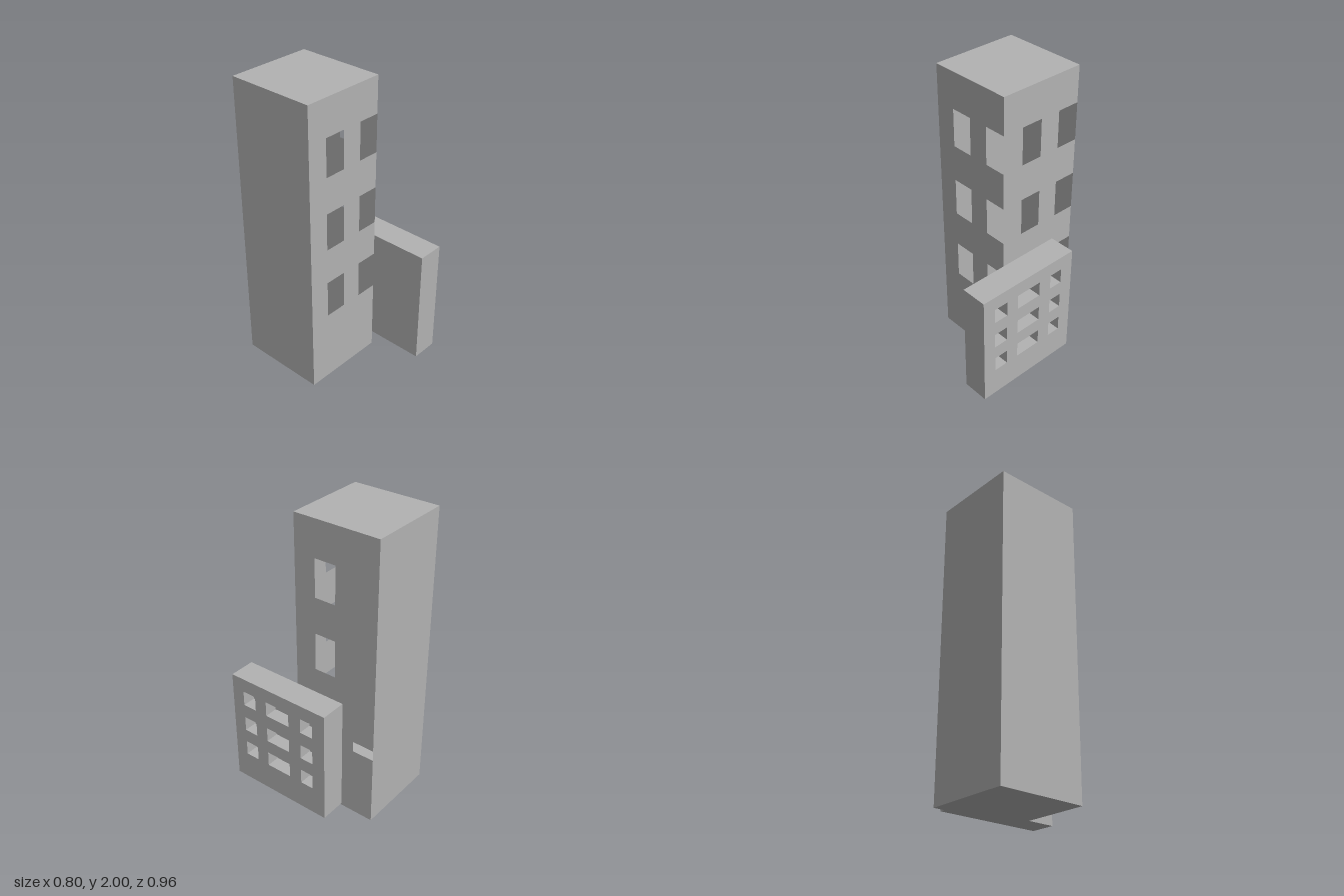
import * as THREE from 'three';

const concrete = new THREE.MeshStandardMaterial({ color: 0xb2b2b2, side: THREE.DoubleSide });
concrete.name = 'grey concrete';

function addMesh(parent, name, geometry) {
  const mesh = new THREE.Mesh(geometry, concrete);
  mesh.name = name;
  parent.add(mesh);
  return mesh;
}

function rectPath(Type, x0, y0, x1, y1) {
  return new Type([[x0, y0], [x1, y0], [x1, y1], [x0, y1]].map(p => new THREE.Vector2(...p)));
}

// Wall sheet with a column of windows and a column of notches open to its right edge
function windowedWall(x0, x1, holeX, notchX) {
  const rows = [[0.5, 0.755], [1, 1.255], [1.5, 1.755]];
  const points = [[x0, 0], [x1, 0]];
  for (const [a, b] of rows) points.push([x1, a], [notchX, a], [notchX, b], [x1, b]);
  points.push([x1, 2], [x0, 2]);
  const shape = new THREE.Shape(points.map(p => new THREE.Vector2(...p)));
  for (const [a, b] of rows) shape.holes.push(rectPath(THREE.Path, holeX, a, holeX + 0.15, b));
  return new THREE.ShapeGeometry(shape);
}

// Hollow tower made of thin sheets
function createTower() {
  const tower = new THREE.Group();
  tower.name = 'tower';
  const x0 = -0.4, x1 = 0.18, z0 = -0.48, z1 = 0.12;
  const w = x1 - x0, d = z1 - z0, cx = (x0 + x1) / 2, cz = (z0 + z1) / 2;

  addMesh(tower, 'frontWall', windowedWall(x0, x1, -0.26, 0.03)).position.z = z1;
  const right = addMesh(tower, 'rightWall', windowedWall(-z1, -z0, 0.03, 0.325));
  right.rotation.y = Math.PI / 2;
  right.position.x = x1;

  const plain = [
    ['backWall', w, 2, cx, 1, z0, 0, Math.PI],
    ['leftWall', d, 2, x0, 1, cz, 0, -Math.PI / 2],
    ['roof', w, d, cx, 2, cz, -Math.PI / 2, 0],
    ['floor', w, d, cx, 0, cz, Math.PI / 2, 0],
  ];
  for (const [name, pw, ph, x, y, z, rx, ry] of plain) {
    const wall = addMesh(tower, name, new THREE.PlaneGeometry(pw, ph));
    wall.position.set(x, y, z);
    wall.rotation.set(rx, ry, 0);
  }
  return tower;
}

// Separate slab with recessed windows on its right face
function createSlab() {
  const slab = new THREE.Group();
  slab.name = 'slabBlock';
  const half = 0.09;

  const face = rectPath(THREE.Shape, -0.48, 0.06, 0.27, 0.865);
  for (const y of [0.26, 0.46, 0.663]) {
    for (const [a, b] of [[-0.39, -0.29], [-0.2, -0.015], [0.08, 0.175]]) {
      face.holes.push(rectPath(THREE.Path, a, y, b, y + 0.105));
    }
  }
  const front = addMesh(slab, 'windowFace',
    new THREE.ExtrudeGeometry(face, { depth: half, bevelEnabled: false }));
  front.rotation.y = Math.PI / 2;
  front.position.x = 0.4 - half;

  addMesh(slab, 'backing', new THREE.BoxGeometry(half, 0.805, 0.75))
    .position.set(0.22 + half / 2, 0.4625, 0.105);
  return slab;
}

export function createModel() {
  const model = new THREE.Group();
  model.name = 'towerAndSlab';
  model.add(createTower(), createSlab());
  return model;
}
